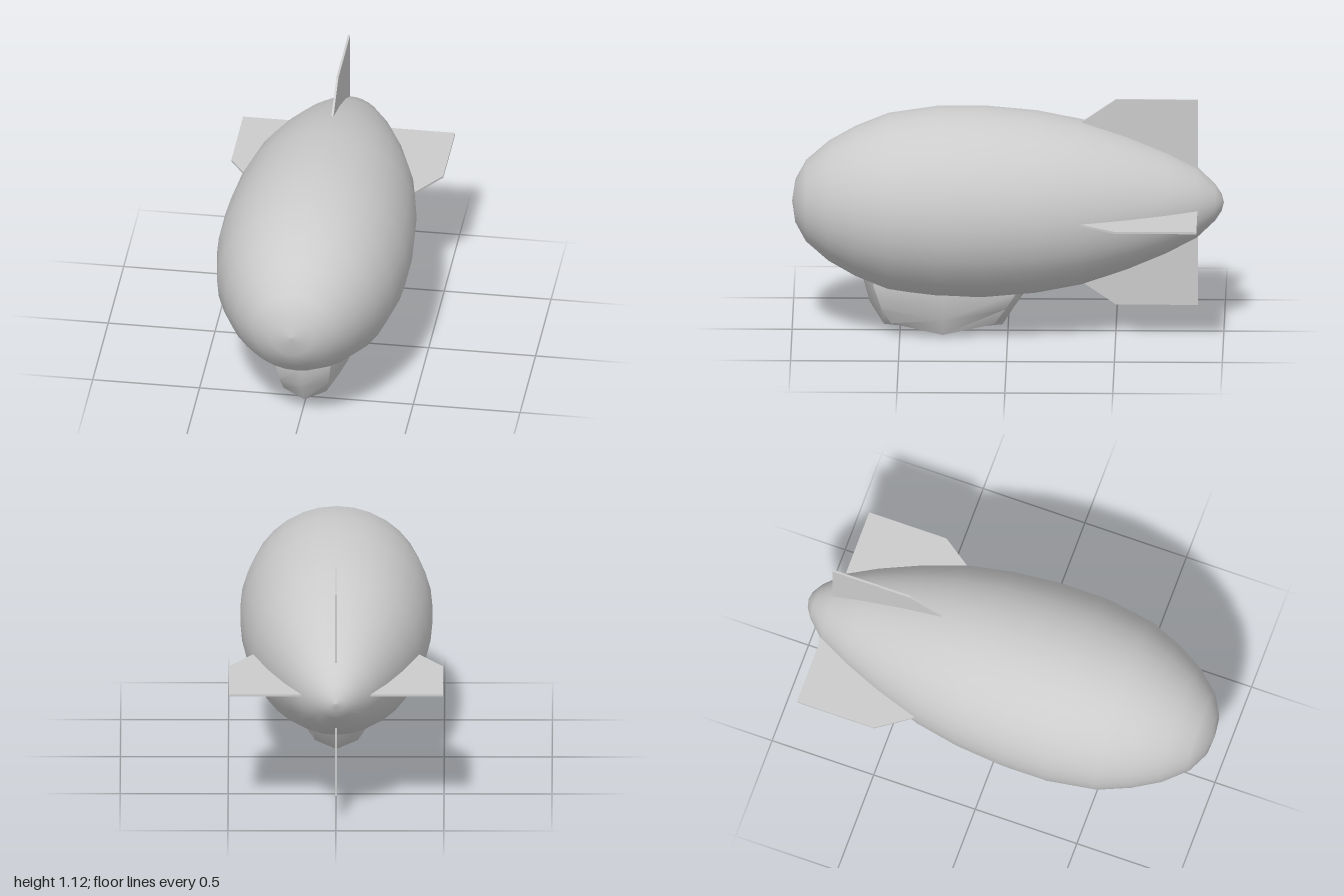
import * as THREE from 'three';
import { toCreasedNormals } from 'three/addons/utils/BufferGeometryUtils.js';

const AXIS_Y = 0.628;

export function createModel() {
  const group = new THREE.Group();
  const material = new THREE.MeshStandardMaterial({ color: 0xcccccc });
  const add = (name, geometry) => {
    const mesh = new THREE.Mesh(geometry, material);
    mesh.name = name;
    group.add(mesh);
    return mesh;
  };

  // Envelope: profile of [radius, z] from tail to nose, turned about z
  const profile = [
    [0, -1], [0.04, -0.99], [0.085, -0.96], [0.165, -0.875], [0.24, -0.73], [0.315, -0.55],
    [0.385, -0.34], [0.425, -0.13], [0.445, 0.1], [0.445, 0.32], [0.41, 0.555],
    [0.35, 0.705], [0.28, 0.83], [0.19, 0.935], [0.1, 0.985], [0, 1],
  ].map(([r, z]) => new THREE.Vector2(r, z));
  const hull = new THREE.LatheGeometry(profile, 32);
  hull.rotateX(Math.PI / 2);
  add('envelope', hull).position.y = AXIS_Y;

  // Four tail fins: outline in (z, distance from axis), swung round the axis
  const thickness = 0.01;
  const outline = new THREE.Shape([
    [-0.88, 0.1], [-0.34, 0.33], [-0.34, 0.385], [-0.5, 0.496], [-0.88, 0.496],
  ].map(([z, r]) => new THREE.Vector2(z, r)));
  const finGeometry = new THREE.ExtrudeGeometry(outline, { depth: thickness, bevelEnabled: false });
  finGeometry.translate(0, 0, -thickness / 2);
  finGeometry.rotateY(-Math.PI / 2);
  ['topFin', 'rightFin', 'bottomFin', 'leftFin'].forEach((name, i) => {
    const fin = add(name, finGeometry);
    fin.position.y = AXIS_Y;
    fin.rotation.z = (-i * Math.PI) / 2 + (i % 2 ? Math.PI : 0);
  });

  // Gondola: half rings from front centre to back centre, bottom to top
  const halfRings = [
    [[0, 0.033, 0.575], [0.1, 0.065, 0.54], [0.127, 0.018, 0.3], [0.1, 0.065, 0.06], [0, 0.033, 0.025]],
    [[0, 0.14, 0.64], [0.115, 0.14, 0.585], [0.17, 0.1, 0.3], [0.115, 0.14, 0.01], [0, 0.12, -0.03]],
    [[0, 0.25, 0.67], [0.13, 0.25, 0.62], [0.195, 0.22, 0.3], [0.13, 0.22, -0.04], [0, 0.2, -0.085]],
    [[0, 0.32, 0.67], [0.13, 0.32, 0.62], [0.195, 0.3, 0.3], [0.13, 0.3, -0.04], [0, 0.3, -0.085]],
  ];
  const rings = halfRings.map((half) => [
    ...half,
    ...half.slice(1, -1).reverse().map(([x, y, z]) => [-x, y, z]),
  ]);
  const n = rings[0].length;
  const positions = [...rings.flat(2), 0, 0.004, 0.3];
  const index = [];
  for (let j = 0; j < n; j++) {
    const k = (j + 1) % n;
    for (let i = 0; i < rings.length - 1; i++) {
      const low = i * n, high = low + n;
      index.push(low + j, low + k, high + k, low + j, high + k, high + j);
    }
    index.push(n * rings.length, k, j); // underside
  }
  const gondola = new THREE.BufferGeometry();
  gondola.setAttribute('position', new THREE.Float32BufferAttribute(positions, 3));
  gondola.setIndex(index);
  add('gondola', toCreasedNormals(gondola, 0.85));

  return group;
}
